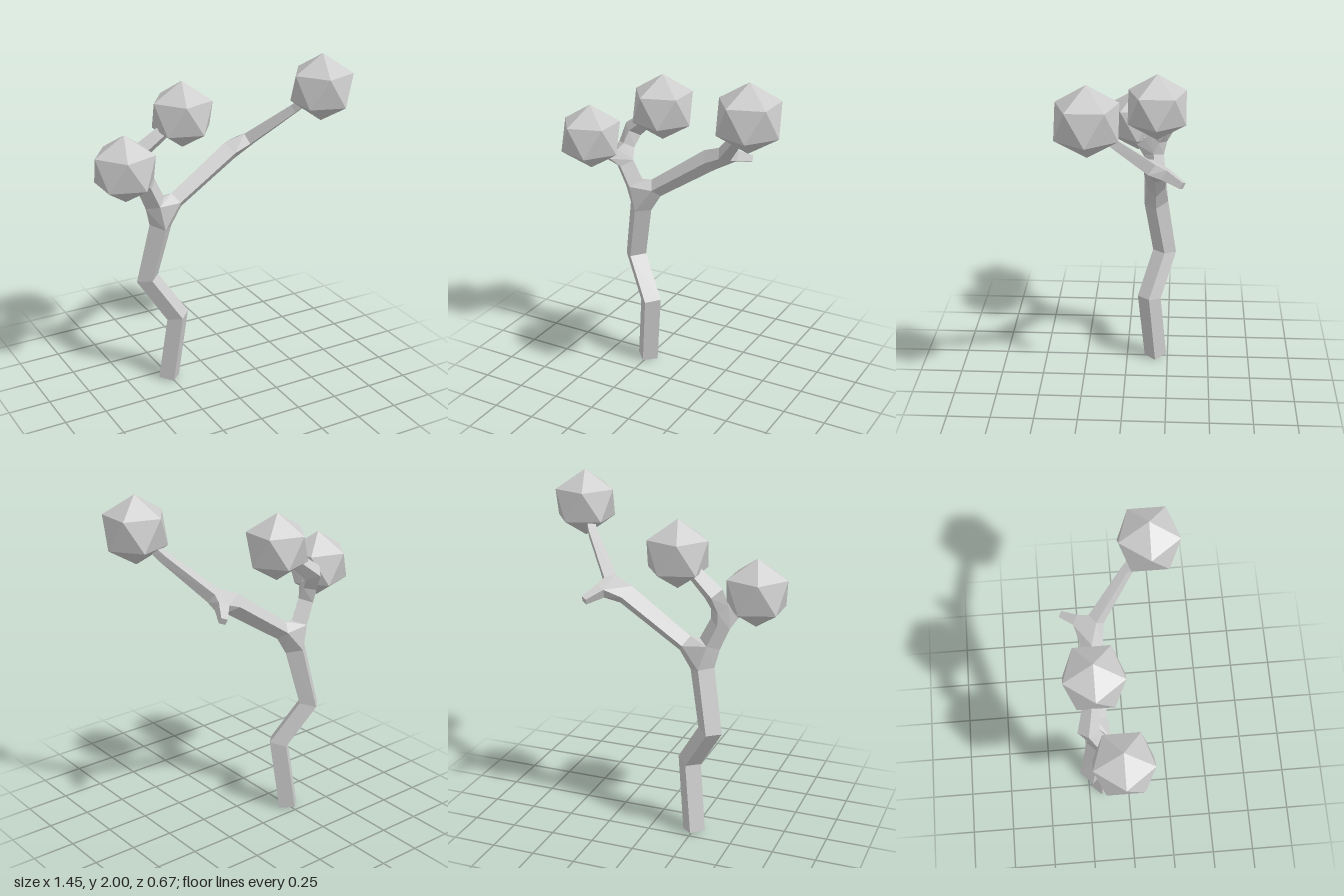
import * as THREE from 'three';
import { ConvexGeometry } from 'three/addons/geometries/ConvexGeometry.js';

const material = new THREE.MeshStandardMaterial({ color: 0xcccccc, flatShading: true });

function addMesh(parent, name, geometry) {
  const mesh = new THREE.Mesh(geometry, material);
  mesh.name = name;
  parent.add(mesh);
  return mesh;
}

// Diamond cross-section of half-diagonal r, perpendicular to the direction
function ring(center, r, dir) {
  const v = new THREE.Vector3(0, 0, 1).addScaledVector(dir, -dir.z).normalize();
  const u = new THREE.Vector3().crossVectors(v, dir);
  return [[u, r], [v, r], [u, -r], [v, -r]].map(([axis, s]) => center.clone().addScaledVector(axis, s));
}

// Four-sided limb through [x, y, z, halfDiagonal] points; returns its end rings
function addLimb(parent, name, points) {
  const limb = new THREE.Group();
  limb.name = name;
  parent.add(limb);
  const c = points.map(([x, y, z]) => new THREE.Vector3(x, y, z));
  const step = (i) => c[i + 1].clone().sub(c[i]).normalize();
  const last = c.length - 1;
  const rings = c.map((p, i) => {
    const dir = new THREE.Vector3();
    if (i > 0) dir.add(step(i - 1));
    if (i < last) dir.add(step(i));
    return ring(p, points[i][3], dir.normalize());
  });
  for (let i = 0; i < last; i++) {
    addMesh(limb, name + 'Segment', new ConvexGeometry([...rings[i], ...rings[i + 1]]));
  }
  return { start: rings[0], end: rings[last] };
}

export function createModel() {
  const tree = new THREE.Group();
  tree.name = 'tree';

  // Crooked trunk
  const trunk = addLimb(tree, 'trunk', [
    [-0.255, 0.01, -0.175, 0.067],
    [-0.21, 0.43, -0.135, 0.07],
    [-0.36, 0.675, -0.222, 0.07],
    [-0.293, 1.02, -0.17, 0.071],
  ]);

  // Main branches
  const leftBranch = addLimb(tree, 'leftBranch', [
    [-0.19, 1.155, -0.17, 0.055],
    [0.16, 1.395, -0.17, 0.063],
  ]);
  const rightBranch = addLimb(tree, 'rightBranch', [
    [-0.33, 1.165, -0.16, 0.064],
    [-0.385, 1.285, -0.15, 0.06],
  ]);

  // Twigs carrying the foliage, and a bare stub
  const leftTwig = addLimb(tree, 'leftTwig', [
    [0.27, 1.46, -0.135, 0.048],
    [0.455, 1.665, 0.05, 0.034],
    [0.5, 1.73, 0.11, 0.03],
  ]);
  const stub = addLimb(tree, 'stub', [
    [0.285, 1.42, -0.235, 0.042],
    [0.345, 1.385, -0.322, 0.026],
  ]);
  const rightTwig = addLimb(tree, 'rightTwig', [
    [-0.435, 1.345, -0.095, 0.05],
    [-0.52, 1.42, -0.06, 0.042],
  ]);
  const middleTwig = addLimb(tree, 'middleTwig', [
    [-0.39, 1.39, -0.18, 0.052],
    [-0.37, 1.475, -0.222, 0.058],
    [-0.19, 1.62, -0.18, 0.04],
  ]);

  // Faceted joints where limbs meet
  const joints = {
    trunkFork: [trunk.end, leftBranch.start, rightBranch.start],
    leftFork: [leftBranch.end, leftTwig.start, stub.start],
    rightFork: [rightBranch.end, rightTwig.start, middleTwig.start],
  };
  for (const [name, rings] of Object.entries(joints)) {
    addMesh(tree, name, new ConvexGeometry(rings.flat()));
  }

  // Icosahedral foliage, standing on a corner
  const foliage = new THREE.IcosahedronGeometry(0.193, 0);
  foliage.rotateZ(Math.atan2(1, (1 + Math.sqrt(5)) / 2));
  const clumps = {
    leftFoliage: [0.552, 1.807, 0.17],
    middleFoliage: [-0.145, 1.66, -0.172],
    rightFoliage: [-0.557, 1.45, -0.05],
  };
  for (const [name, position] of Object.entries(clumps)) {
    addMesh(tree, name, foliage).position.set(...position);
  }

  return tree;
}
